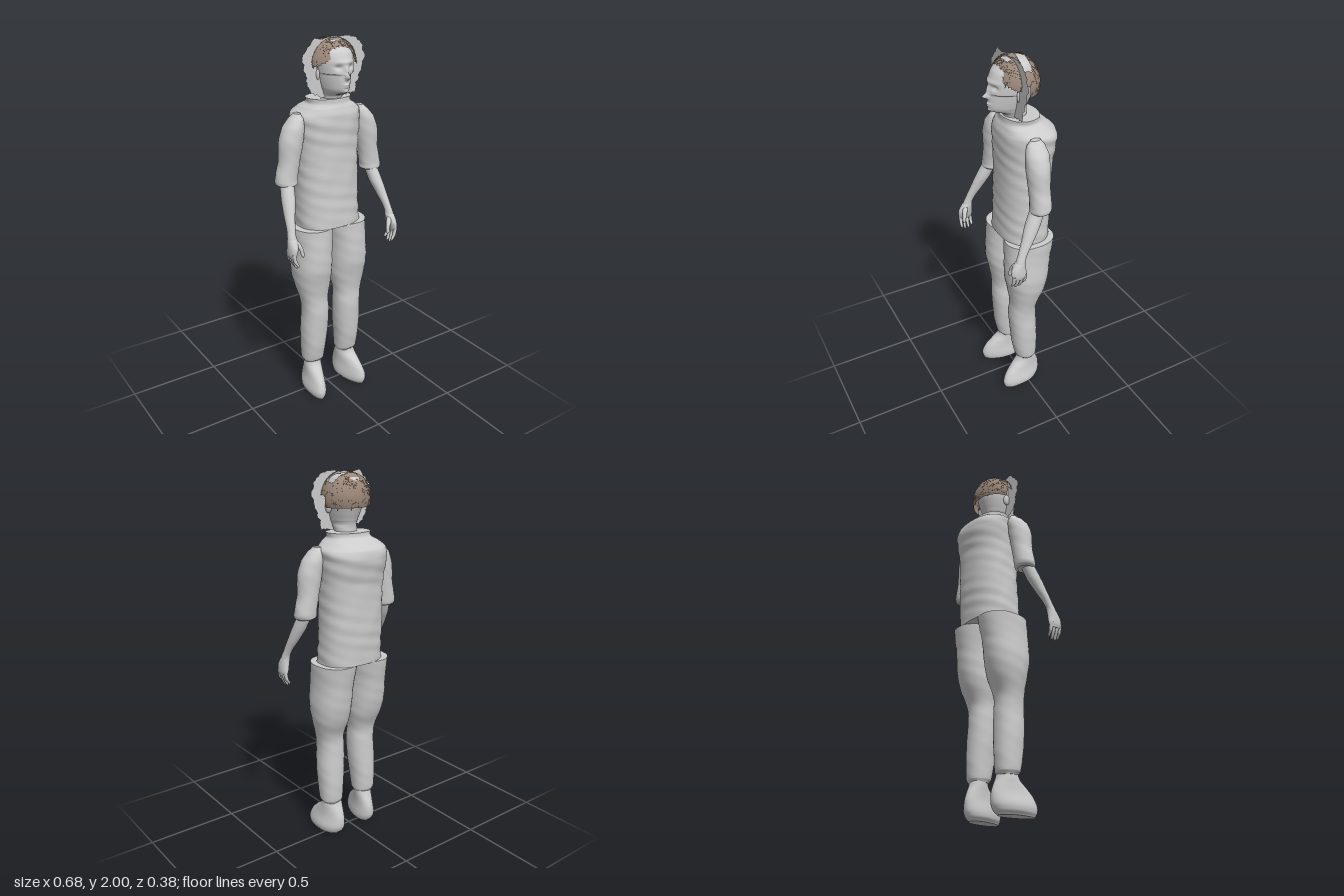
import * as THREE from 'three';
import { mergeGeometries } from 'three/addons/utils/BufferGeometryUtils.js';

const grey = new THREE.MeshStandardMaterial({ color: 0xcccccc });
grey.name = 'plain grey';
const greySheet = new THREE.MeshStandardMaterial({ color: 0xcccccc, side: THREE.DoubleSide });
greySheet.name = 'plain grey sheet';
const brown = new THREE.MeshStandardMaterial({ color: 0x9a8778, side: THREE.DoubleSide });
brown.name = 'hair brown';

const MID = 0.012; // x of the body's middle line

let seed = 7;
const rand = () => (seed = (seed * 16807) % 2147483647) / 2147483647;

const spline = (a, b, c, d, t) =>
  b + 0.5 * t * (c - a + t * (2 * a - 5 * b + 4 * c - d + t * (3 * (b - c) + d - a)));

// Cross-sections [y, x0, x1, z0, z1] from bottom to top, joined into a closed smooth skin
function loft(rings, { seg = 32, sub = 5, power = 2, bump = 0, side = 1, mid = 0, sculpt } = {}) {
  const pos = [], index = [], at = (i) => rings[Math.max(0, Math.min(rings.length - 1, i))];
  const rows = (rings.length - 1) * sub + 1;
  for (let j = 0; j < rows; j++) {
    const k = Math.min(Math.floor(j / sub), rings.length - 2), t = j / sub - k;
    const [y, x0, x1, z0, z1] = rings[0].map((_, n) =>
      n === 0 ? at(k)[0] + (at(k + 1)[0] - at(k)[0]) * t
        : spline(at(k - 1)[n], at(k)[n], at(k + 1)[n], at(k + 2)[n], t));
    for (let i = 0; i < seg; i++) {
      const a = (i / seg) * Math.PI * 2, c = Math.cos(a), s = Math.sin(a);
      const w = 1 + bump * (Math.sin(y * 47 + 3 * a) * Math.sin(5 * a - y * 23) + 0.6 * Math.sin(y * 90 - 4 * a));
      const p = new THREE.Vector3(
        mid + side * (x0 + x1) / 2 + (x1 - x0) / 2 * w * Math.sign(c) * Math.abs(c) ** (2 / power), y,
        (z0 + z1) / 2 + (z1 - z0) / 2 * w * Math.sign(s) * Math.abs(s) ** (2 / power));
      if (sculpt) sculpt(p);
      pos.push(p.x, p.y, p.z);
    }
  }
  for (let j = 0; j < rows - 1; j++) for (let i = 0; i < seg; i++) {
    const n = (i + 1) % seg, a = j * seg + i, b = a + seg, c = (j + 1) * seg + n, d = j * seg + n;
    index.push(a, b, c, a, c, d);
  }
  // end caps with their own vertices, so the rims stay sharp
  for (const top of [false, true]) {
    const from = top ? (rows - 1) * seg : 0, base = pos.length / 3, mean = [0, 0, 0];
    for (let i = 0; i < seg; i++) for (let n = 0; n < 3; n++) {
      const v = pos[(from + i) * 3 + n];
      pos.push(v);
      mean[n] += v / seg;
    }
    pos.push(...mean);
    for (let i = 0; i < seg; i++) {
      const n = base + (i + 1) % seg;
      index.push(base + seg, ...(top ? [n, base + i] : [base + i, n]));
    }
  }
  const g = new THREE.BufferGeometry();
  g.setAttribute('position', new THREE.Float32BufferAttribute(pos, 3));
  g.setIndex(index);
  g.computeVertexNormals();
  return g;
}

// Cross-section given by centre and radii
const disc = (y, x, z, rx, rz) => [y, x - rx, x + rx, z - rz, z + rz];

function add(parent, name, geometry, material = grey) {
  const m = new THREE.Mesh(geometry, material);
  m.name = name;
  parent.add(m);
  return m;
}

// Pushes the front of the head into a face: [x offset, y, x spread, y spread, depth]
const features = [
  [0, 1.817, 0.012, 0.012, 0.032], [0, 1.845, 0.01, 0.025, 0.012],
  [0.036, 1.862, 0.016, 0.011, -0.014], [-0.036, 1.862, 0.016, 0.011, -0.014],
  [0, 1.887, 0.055, 0.009, 0.007], [0, 1.779, 0.02, 0.005, 0.009],
  [0, 1.768, 0.017, 0.004, 0.008], [0, 1.745, 0.018, 0.01, 0.008],
];
function sculptFace(p) {
  if (p.z < 0.03) return;
  const dx = p.x - 0.015;
  if (p.z > 0.07) for (const [fx, fy, sx, sy, d] of features)
    p.z += d * Math.exp(-(((dx - fx) / sx) ** 2) - ((p.y - fy) / sy) ** 2);
  if (p.y < 1.83 && p.y > 1.72) p.x -= dx * Math.min(0.25, (p.z - 0.03) * 2.5);
}

// Hair covers a front and a back patch of an oval cap, with a bare band over the crown
const capCentre = new THREE.Vector3(0.015, 1.865, 0.01), capSize = new THREE.Vector3(0.136, 0.133, 0.118);
function hasHair(p) {
  const dx = Math.abs(p.x - 0.015), curve = dx * dx * 2;
  if (p.y > 1.9 && dx < 0.108 && p.z > -0.035 + curve * 0.5 && p.z < 0.012 + curve) return false;
  if (p.z > 0.045 && p.z < 0.07 && dx < 0.035) return false;
  if (p.z > 0.045) return p.y > 1.865 + 0.075 * Math.max(0, 1 - dx / 0.125);
  return p.y > (p.z > 0 ? 1.88 : 1.825);
}
function hairGeometry() {
  const cap = new THREE.SphereGeometry(1, 72, 48).scale(...capSize).translate(...capCentre).toNonIndexed();
  const P = cap.attributes.position, N = cap.attributes.normal, pos = [], nor = [], v = new THREE.Vector3();
  for (let t = 0; t < P.count; t += 3) {
    const mid = new THREE.Vector3();
    for (let k = 0; k < 3; k++) mid.addScaledVector(v.fromBufferAttribute(P, t + k), 1 / 3);
    if (hasHair(mid)) for (let k = t; k < t + 3; k++) {
      pos.push(P.getX(k), P.getY(k), P.getZ(k));
      nor.push(N.getX(k), N.getY(k), N.getZ(k));
    }
  }
  const g = new THREE.BufferGeometry();
  g.setAttribute('position', new THREE.Float32BufferAttribute(pos, 3));
  g.setAttribute('normal', new THREE.Float32BufferAttribute(nor, 3));
  return g;
}
function strandGeometry() {
  const list = [], o = new THREE.Object3D();
  while (list.length < 170) {
    const d = new THREE.Vector3(rand() * 2 - 1, rand() * 1.3 - 0.3, rand() * 2 - 1).normalize();
    const p = d.clone().multiply(capSize).add(capCentre);
    if (!hasHair(p)) continue;
    o.position.copy(p);
    o.lookAt(p.clone().add(d.divide(capSize)));
    o.rotateZ(rand() * Math.PI);
    o.updateMatrix();
    list.push(new THREE.BoxGeometry(0.025 + rand() * 0.02, 0.004, 0.002).applyMatrix4(o.matrix));
  }
  return mergeGeometries(list);
}

// Ragged flat sheet standing behind the face
function sheetGeometry() {
  const outline = [[-0.1, 1.995], [-0.15, 1.95], [-0.165, 1.9], [-0.155, 1.83], [-0.14, 1.77], [-0.1, 1.72],
    [-0.06, 1.71], [0.09, 1.71], [0.14, 1.715], [0.155, 1.76], [0.185, 1.82], [0.2, 1.88], [0.19, 1.94],
    [0.15, 1.98], [0.1, 1.995]].map(([x, y]) => new THREE.Vector2(x, y));
  const pts = [];
  outline.forEach((p, i) => {
    const q = outline[(i + 1) % outline.length];
    for (let k = 0; k < 5; k++) {
      const r = p.clone().lerp(q, k / 5);
      r.x += (rand() - 0.5) * 0.014;
      r.y = Math.min(1.997, r.y + (rand() - 0.5) * 0.014);
      pts.push(r);
    }
  });
  return new THREE.ShapeGeometry(new THREE.Shape(pts)).translate(0, 0, 0.04);
}

export function createModel() {
  const model = new THREE.Group();
  model.name = 'figure';

  add(model, 'shirt', loft([
    [1.02, -0.165, 0.195, -0.155, 0.112], [1.2, -0.162, 0.19, -0.163, 0.105], [1.45, -0.16, 0.19, -0.17, 0.1],
    [1.57, -0.172, 0.2, -0.19, 0.102], [1.62, -0.17, 0.2, -0.183, 0.1], [1.655, -0.135, 0.165, -0.145, 0.09],
    [1.675, -0.106, 0.136, -0.112, 0.081], [1.7, -0.104, 0.134, -0.105, 0.08],
  ], { seg: 64, sub: 12, power: 2.3, bump: 0.012 }));

  add(model, 'head', loft([
    [1.66, -0.04, 0.07, -0.05, 0.07], [1.715, -0.045, 0.075, -0.048, 0.075], [1.737, -0.05, 0.08, -0.05, 0.135],
    [1.755, -0.058, 0.088, -0.056, 0.15], [1.79, -0.067, 0.097, -0.07, 0.152], [1.83, -0.075, 0.105, -0.085, 0.15],
    [1.88, -0.08, 0.11, -0.094, 0.145], [1.93, -0.08, 0.11, -0.09, 0.125], [1.965, -0.062, 0.092, -0.07, 0.085],
    [1.982, -0.03, 0.06, -0.035, 0.045], [1.987, 0.01, 0.02, 0, 0.01],
  ], { seg: 96, sub: 9, sculpt: sculptFace }));
  for (const s of [-1, 1]) {
    const ear = add(model, 'ear', new THREE.SphereGeometry(1, 16, 12).scale(0.012, 0.034, 0.02));
    ear.position.set(0.015 + s * 0.092, 1.825, 0.03);
    ear.rotation.y = s * 0.35;
  }
  add(model, 'hairCap', hairGeometry(), brown);
  add(model, 'hairStrands', strandGeometry(), brown);
  add(model, 'headSheet', sheetGeometry(), greySheet);

  for (const side of [-1, 1]) {
    const lean = -side * 0.014; // lower legs sit slightly towards -x
    const limb = (name, rings, opt = {}) => add(model, name, loft(rings, { side, mid: 0.006, ...opt }));

    limb('trouserLeg', [
      [0.19, 0.07, 0.175, -0.05, 0.045], [0.21, 0.06, 0.187, -0.06, 0.062], [0.3, 0.052, 0.19, -0.065, 0.08],
      [0.4, 0.04, 0.192, -0.062, 0.088], [0.52, 0.035, 0.185, -0.058, 0.095], [0.6, 0.035, 0.193, -0.06, 0.09],
      [0.7, 0.015, 0.215, -0.1, 0.103], [0.79, 0.008, 0.223, -0.122, 0.12], [0.9, 0.006, 0.216, -0.135, 0.12],
      [1.02, -0.007, 0.216, -0.155, 0.115],
    ], { mid: MID, bump: 0.008, power: 2.2,
      sculpt: (p) => { p.x += lean * Math.max(0, 1 - p.y / 0.8); } });

    limb('foot', [
      [0, 0.085, 0.18, -0.055, 0.145], [0.02, 0.07, 0.195, -0.075, 0.154], [0.05, 0.068, 0.198, -0.088, 0.156],
      [0.1, 0.075, 0.185, -0.088, 0.135], [0.14, 0.076, 0.18, -0.075, 0.095], [0.17, 0.075, 0.178, -0.06, 0.06],
      [0.2, 0.075, 0.175, -0.05, 0.048],
    ], { mid: MID, power: 2.1, sculpt: (p) => {
      p.x += lean + side * p.z * 0.15;
      if (p.z > 0) p.x -= (p.x - (MID + lean + side * (0.13 + p.z * 0.15))) * p.z * 1.6;
    } });

    limb('sleeve', [
      disc(1.275, 0.263, 0.01, 0.042, 0.042), disc(1.285, 0.262, 0.008, 0.058, 0.053),
      disc(1.31, 0.262, 0.005, 0.06, 0.054), disc(1.4, 0.245, 0.005, 0.057, 0.055),
      disc(1.5, 0.232, 0.006, 0.064, 0.06), disc(1.57, 0.216, 0.004, 0.055, 0.058),
      disc(1.61, 0.2, 0.002, 0.037, 0.046), disc(1.637, 0.192, 0, 0.016, 0.026),
    ], { mid: MID, bump: 0.012 });

    limb('forearm', [
      disc(1.03, 0.312, 0.142, 0.023, 0.026), disc(1.08, 0.306, 0.124, 0.021, 0.025),
      disc(1.15, 0.292, 0.087, 0.028, 0.034), disc(1.22, 0.276, 0.052, 0.035, 0.041),
      disc(1.32, 0.26, 0.012, 0.034, 0.037),
    ]);
    limb('palm', [
      disc(0.945, 0.322, 0.15, 0.012, 0.033), disc(0.965, 0.32, 0.151, 0.019, 0.041),
      disc(1.0, 0.315, 0.152, 0.024, 0.04), disc(1.035, 0.311, 0.143, 0.024, 0.03),
      disc(1.055, 0.308, 0.132, 0.019, 0.022),
    ]);
    for (let f = 0; f < 4; f++) {
      const z = 0.121 + f * 0.02, tip = 0.884 + [0.014, 0.002, 0, 0.012][f];
      limb('finger', [
        disc(tip, 0.3, z + 0.002, 0.004, 0.004), disc(tip + 0.008, 0.303, z + 0.002, 0.008, 0.007),
        disc(0.925, 0.317, z, 0.01, 0.009), disc(0.97, 0.325, z, 0.011, 0.01),
      ], { seg: 12, sub: 4 });
    }
    limb('thumb', [
      disc(0.945, 0.272, 0.18, 0.004, 0.004), disc(0.953, 0.273, 0.179, 0.009, 0.009),
      disc(0.985, 0.278, 0.174, 0.011, 0.011), disc(1.015, 0.293, 0.163, 0.016, 0.014),
      disc(1.04, 0.305, 0.15, 0.01, 0.012),
    ], { seg: 14, sub: 4 });
  }
  return model;
}
